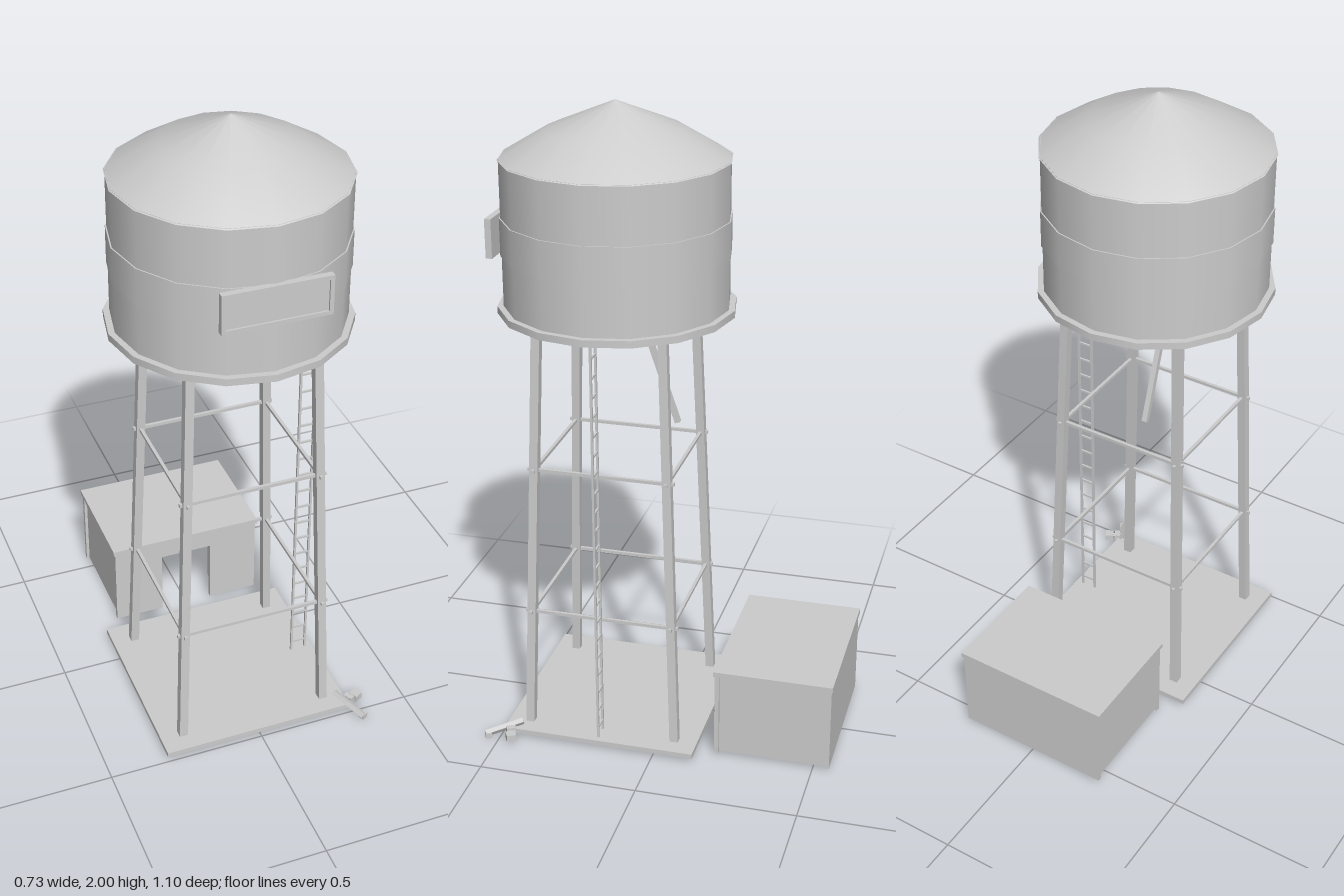
import * as THREE from 'three';

const grey = new THREE.MeshStandardMaterial({ color: 0xcccccc });
grey.name = 'paintedGrey';
const CZ = 0.184; // tower axis

function add(parent, name, geometry, x = 0, y = 0, z = 0) {
  const mesh = new THREE.Mesh(geometry, grey);
  mesh.name = name;
  mesh.position.set(x, y, z);
  parent.add(mesh);
  return mesh;
}

// Box given by its lower and upper corners
function block(parent, name, x0, x1, y0, y1, z0, z1) {
  return add(parent, name, new THREE.BoxGeometry(x1 - x0, y1 - y0, z1 - z0),
    (x0 + x1) / 2, (y0 + y1) / 2, (z0 + z1) / 2);
}

// Square bar between two points
function bar(parent, name, a, b, w, d = w) {
  const from = new THREE.Vector3(...a), to = new THREE.Vector3(...b);
  const dir = to.clone().sub(from);
  const mesh = add(parent, name, new THREE.BoxGeometry(w, dir.length(), d));
  mesh.position.copy(from).add(to).multiplyScalar(0.5);
  mesh.quaternion.setFromUnitVectors(new THREE.Vector3(0, 1, 0), dir.normalize());
  return mesh;
}

function group(parent, name) {
  const g = new THREE.Group();
  g.name = name;
  parent.add(g);
  return g;
}

function buildTank(root) {
  const tank = group(root, 'tank');
  const drum = (name, r, y0, y1) => add(tank, name,
    new THREE.CylinderGeometry(r, r, y1 - y0, 16), 0, (y0 + y1) / 2, CZ);
  drum('platform', 0.362, 1.368, 1.39);
  drum('tankWall', 0.343, 1.39, 1.835);
  drum('tankBand', 0.347, 1.545, 1.66);
  const profile = [[0.347, 1.832], [0.205, 1.917], [0, 2]].map(p => new THREE.Vector2(...p));
  add(tank, 'roof', new THREE.LatheGeometry(profile, 16), 0, 0, CZ);

  // Framed board on the front of the tank
  const board = group(tank, 'board');
  block(board, 'panel', -0.155, 0.155, 1.55, 1.655, 0.52, 0.534);
  for (const s of [-1, 1]) {
    const x = s * 0.155, y = 1.603 + s * 0.054;
    block(board, 'frameSide', x - 0.006, x + 0.006, 1.549, 1.657, 0.52, 0.54);
    block(board, 'frameRail', -0.161, 0.161, y - 0.006, y + 0.006, 0.52, 0.54);
  }
}

function buildFrame(root) {
  const frame = group(root, 'frame');
  block(frame, 'baseSlab', -0.312, 0.307, 0.01, 0.026, CZ - 0.312, CZ + 0.307);
  const spread = y => 0.24 - 0.047 * y / 1.37;

  for (const sx of [-1, 1]) for (const sz of [-1, 1]) {
    const at = y => [sx * spread(y), y, CZ + sz * spread(y)];
    bar(frame, 'leg', at(0.02), at(1.375), 0.027);
  }
  // Two levels of ties, reaching a little past the legs
  for (const y of [0.42, 0.9]) {
    const r = spread(y), e = r + 0.022;
    for (const s of [-1, 1]) {
      bar(frame, 'tieAcross', [-e, y, CZ + s * r], [e, y, CZ + s * r], 0.01);
      bar(frame, 'tieAlong', [s * r, y, CZ - e], [s * r, y, CZ + e], 0.01);
    }
  }
  bar(frame, 'spout', [-0.07, 1.39, 0.153], [-0.07, 0.985, 0.015], 0.017);

  // Ladder on the left side
  const ladder = group(frame, 'ladder');
  for (const x of [0.235, 0.283]) bar(ladder, 'rail', [x, 0.02, CZ], [x, 1.375, CZ], 0.007);
  for (let i = 0; i < 21; i++) {
    const y = 0.06 + i * 0.0622;
    bar(ladder, 'rung', [0.235, y, CZ], [0.283, y, CZ], 0.006);
  }
}

function buildHut(root) {
  const hut = group(root, 'hut');
  block(hut, 'hutRoof', -0.261, 0.256, 0.286, 0.302, -0.556, -0.182);

  // Front wall with open doorway
  const wall = new THREE.Shape([[-0.255, 0.01], [-0.09, 0.01], [-0.09, 0.232], [0.085, 0.232],
    [0.085, 0.01], [0.25, 0.01], [0.25, 0.286], [-0.255, 0.286]].map(p => new THREE.Vector2(...p)));
  add(hut, 'frontWall', new THREE.ExtrudeGeometry(wall, { depth: 0.014, bevelEnabled: false }), 0, 0, -0.2);
  block(hut, 'backWall', -0.255, 0.25, 0.01, 0.286, -0.552, -0.538);
  block(hut, 'rightWall', -0.245, -0.231, 0.01, 0.286, -0.538, -0.2);
  block(hut, 'leftWall', 0.226, 0.24, 0.01, 0.286, -0.538, -0.2);
  // Drum standing inside
  add(hut, 'drum', new THREE.CylinderGeometry(0.048, 0.048, 0.14, 16), 0.165, 0.08, -0.285);
}

function buildValve(root) {
  const valve = group(root, 'valve');
  bar(valve, 'drainPipe', [0.278, 0.04, 0.437], [0.336, 0.012, 0.543], 0.016);
  bar(valve, 'valveStem', [0.3, 0.028, 0.472], [0.335, 0.022, 0.46], 0.012);
  const foot = block(valve, 'outletFoot', 0.326, 0.346, 0, 0.018, 0.525, 0.545);
  const handle = block(valve, 'valveHandle', 0.331, 0.359, 0.01, 0.032, 0.441, 0.471);
  const collar = block(valve, 'valveCollar', 0.308, 0.326, 0.015, 0.037, 0.45, 0.48);
  for (const m of [foot, handle, collar]) m.rotation.y = 0.5;
}

export function createModel() {
  const root = new THREE.Group();
  root.name = 'waterTower';
  buildTank(root);
  buildFrame(root);
  buildHut(root);
  buildValve(root);
  return root;
}
